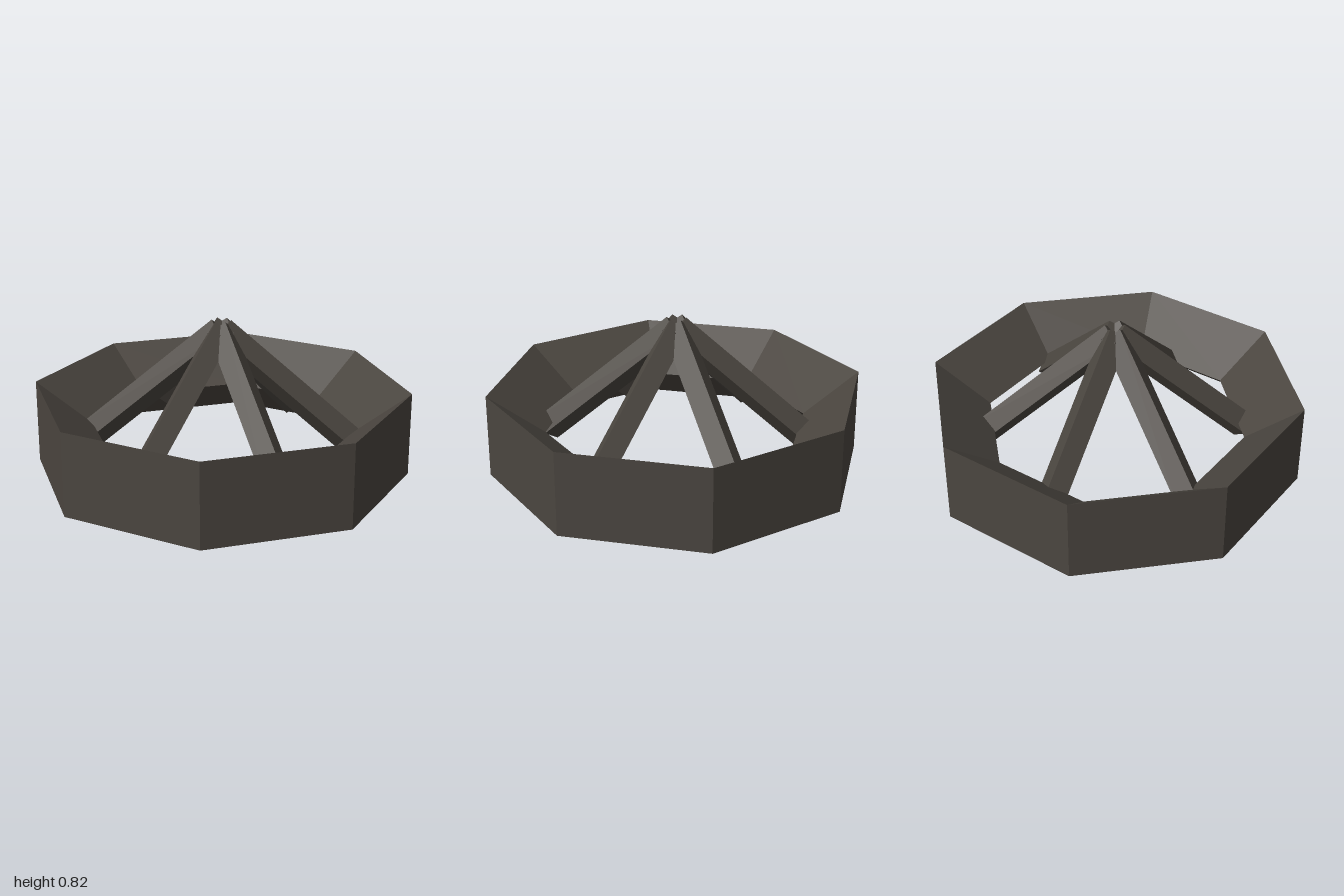
import * as THREE from 'three';

export function createModel() {
  const model = new THREE.Group();
  model.name = 'firePit';
  const charred = new THREE.MeshStandardMaterial({ color: 0x4b4640, flatShading: true });
  charred.name = 'charredBrown';

  // Eight-sided ring with a wedge section: upright outside, pointed inside
  const section = [[0.7, 0.225], [1, 0], [1, 0.45], [0.7, 0.225]].map(([r, y]) => new THREE.Vector2(r, y));
  const ring = new THREE.Mesh(new THREE.LatheGeometry(section, 8), charred);
  ring.name = 'ring';
  model.add(ring);

  // Six square logs leaning together, each with an edge on top
  const foot = new THREE.Vector2(0.7, 0.168);
  const apex = new THREE.Vector2(0, 0.764);
  const lean = Math.atan2(foot.x, apex.y - foot.y);
  const logShape = new THREE.CylinderGeometry(0.079, 0.079, foot.distanceTo(apex), 4);
  logShape.rotateZ(lean);
  logShape.translate((foot.x + apex.x) / 2, (foot.y + apex.y) / 2, 0);

  const logs = new THREE.Group();
  logs.name = 'logs';
  for (let i = 0; i < 6; i++) {
    const log = new THREE.Mesh(logShape, charred);
    log.name = `log${i + 1}`;
    log.rotation.y = (i * Math.PI) / 3;
    logs.add(log);
  }
  model.add(logs);
  return model;
}
